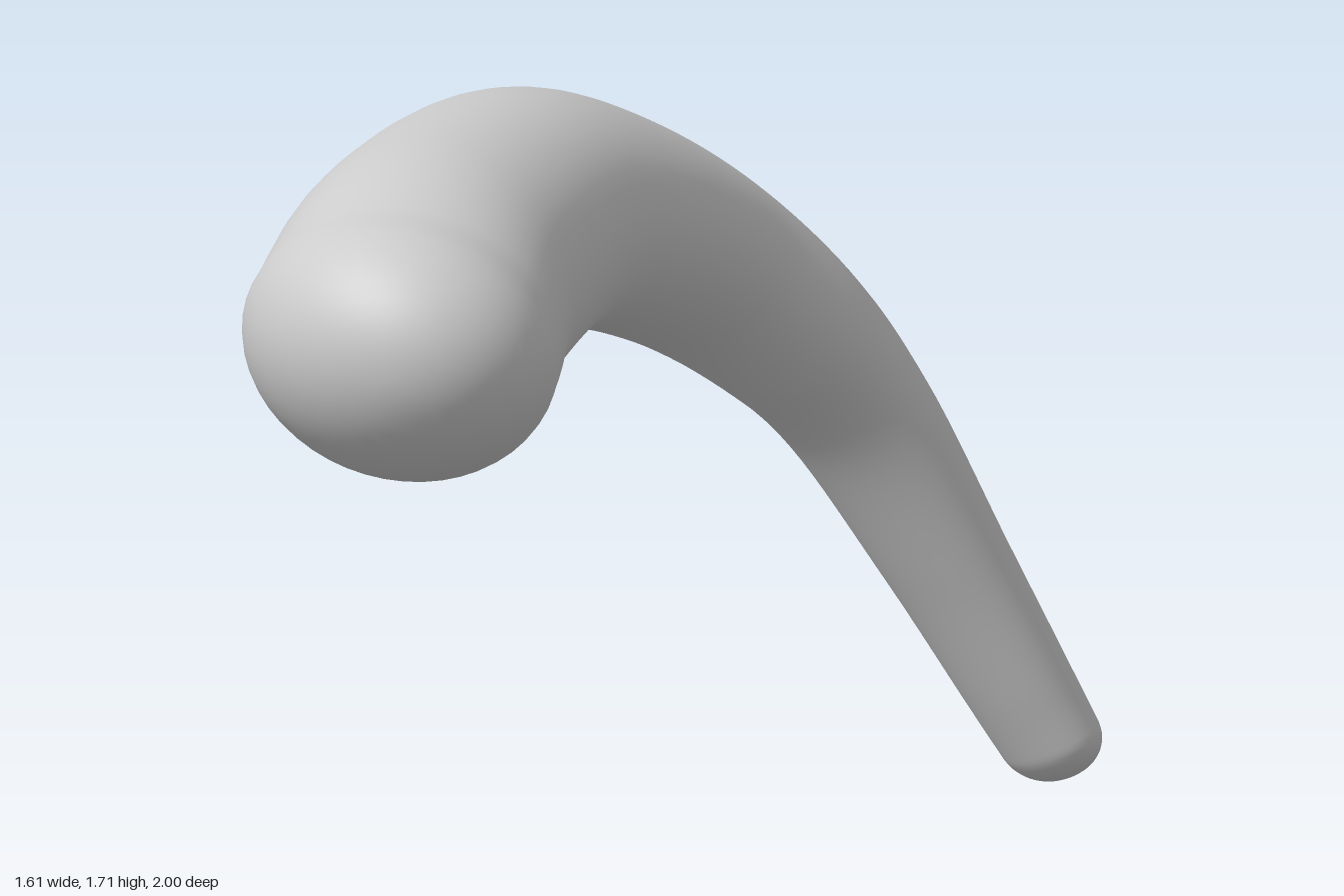
import * as THREE from 'three';

// Spine stations: x, y, z, wide radius, narrow radius, heading of the wide axis (degrees)
const STATIONS = [
  [-0.485, 1.37, 0.67, 0.33, 0.29, 6],
  [-0.445, 1.42, 0.40, 0.31, 0.30, 12],
  [-0.33, 1.435, 0.0, 0.295, 0.265, 20],
  [-0.20, 1.365, -0.27, 0.285, 0.23, 32],
  [-0.02, 1.20, -0.55, 0.265, 0.20, 41],
  [0.165, 1.01, -0.70, 0.24, 0.17, 46],
  [0.31, 0.81, -0.78, 0.21, 0.138, 46],
  [0.485, 0.49, -0.83, 0.175, 0.112, 46],
  [0.63, 0.22, -0.86, 0.152, 0.097, 46],
  [0.69, 0.11, -0.87, 0.143, 0.09, 46],
];
const SIDES = 48;
const STEPS = 72;
const CAP = 12;

function hornGeometry() {
  const spine = new THREE.CatmullRomCurve3(
    STATIONS.map(s => new THREE.Vector3(s[0], s[1], s[2])), false, 'catmullrom');
  const section = new THREE.CatmullRomCurve3(
    STATIONS.map(s => new THREE.Vector3(s[3], s[4], s[5])), false, 'catmullrom');
  const positions = [];
  const index = [];

  // One elliptical ring, shifted along the cap direction and shrunk
  function ring(t, offset, scale) {
    const centre = spine.getPoint(t).add(offset);
    const tangent = spine.getTangent(t);
    const size = section.getPoint(t);
    const heading = THREE.MathUtils.degToRad(size.z);
    const wide = new THREE.Vector3(Math.cos(heading), 0, Math.sin(heading));
    wide.addScaledVector(tangent, -wide.dot(tangent)).normalize();
    const narrow = new THREE.Vector3().crossVectors(tangent, wide);
    for (let j = 0; j < SIDES; j++) {
      const a = (j / SIDES) * Math.PI * 2;
      const p = centre.clone()
        .addScaledVector(wide, Math.cos(a) * size.x * scale)
        .addScaledVector(narrow, Math.sin(a) * size.y * scale);
      positions.push(p.x, p.y, p.z);
    }
  }

  const headDir = new THREE.Vector3(0.02, -0.01, 0.33);
  const tipDir = spine.getTangent(1).multiplyScalar(0.09);
  const zero = new THREE.Vector3();

  // Rounded head, body, rounded tip
  for (let i = CAP; i > 0; i--) {
    const a = (i / (CAP + 1)) * Math.PI / 2;
    ring(0, headDir.clone().multiplyScalar(Math.sin(a)), Math.cos(a));
  }
  for (let i = 0; i <= STEPS; i++) ring(i / STEPS, zero, 1);
  for (let i = 1; i <= CAP; i++) {
    const a = (i / (CAP + 1)) * Math.PI / 2;
    ring(1, tipDir.clone().multiplyScalar(Math.sin(a)), Math.pow(Math.cos(a), 0.85));
  }

  const rings = positions.length / 3 / SIDES;
  for (let i = 0; i < rings - 1; i++) {
    for (let j = 0; j < SIDES; j++) {
      const k = (j + 1) % SIDES;
      const a = i * SIDES + j, b = i * SIDES + k;
      index.push(a, b, a + SIDES, b, b + SIDES, a + SIDES);
    }
  }

  // Poles closing both ends
  const head = spine.getPoint(0).add(headDir);
  const tip = spine.getPoint(1).add(tipDir);
  const headId = rings * SIDES, tipId = headId + 1, last = (rings - 1) * SIDES;
  positions.push(head.x, head.y, head.z, tip.x, tip.y, tip.z);
  for (let j = 0; j < SIDES; j++) {
    const k = (j + 1) % SIDES;
    index.push(headId, k, j, tipId, last + j, last + k);
  }

  const geometry = new THREE.BufferGeometry();
  geometry.setAttribute('position', new THREE.Float32BufferAttribute(positions, 3));
  geometry.setIndex(index);
  geometry.computeBoundingBox();
  geometry.translate(0, -geometry.boundingBox.min.y, 0);
  geometry.computeVertexNormals();
  return geometry;
}

export function createModel() {
  const group = new THREE.Group();
  group.name = 'curvedHorn';
  const horn = new THREE.Mesh(hornGeometry(), new THREE.MeshStandardMaterial({ color: 0xcccccc }));
  horn.name = 'horn';
  group.add(horn);
  return group;
}
